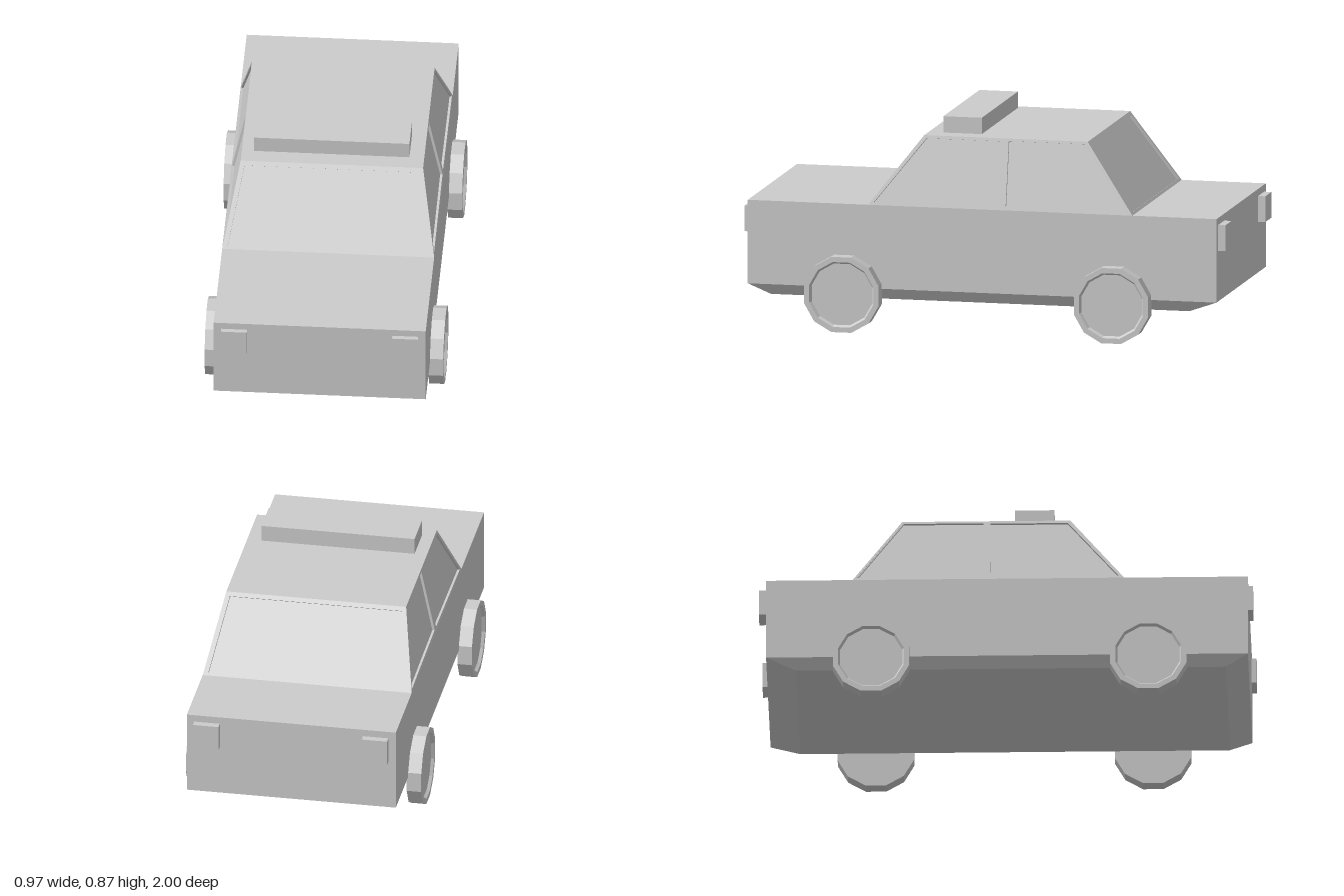
import * as THREE from 'three';
import { ConvexGeometry } from 'three/addons/geometries/ConvexGeometry.js';

const V = (x, y, z) => new THREE.Vector3(x, y, z);
const BELT = 0.52, ROOF = 0.805;          // heights of the cabin's base and roof
const rise = y => (y - BELT) / (ROOF - BELT);

export function createModel() {
  const car = new THREE.Group();
  car.name = 'car';
  const mat = new THREE.MeshStandardMaterial({ color: 0xcccccc, flatShading: true });

  const add = (name, geometry, parent = car) => {
    const mesh = new THREE.Mesh(geometry, mat);
    mesh.name = name;
    parent.add(mesh);
    return mesh;
  };
  const box = (name, w, h, d, x, y, z) =>
    add(name, new THREE.BoxGeometry(w, h, d)).position.set(x, y, z);

  // Lower body: a box whose underside tapers in
  const ring = (x, y, zFront, zBack) =>
    [V(x, y, zFront), V(-x, y, zFront), V(x, y, zBack), V(-x, y, zBack)];
  add('body', new ConvexGeometry([
    ...ring(0.43, BELT, 0.98, -0.97),
    ...ring(0.43, 0.177, 0.98, -0.97),
    ...ring(0.4, 0.132, 0.89, -0.85),
  ]));

  // Cabin wall: a sloping frame with openings and panes set slightly back.
  // at(a, y) places a point on the wall; corners run counter-clockwise from outside.
  const wall = (name, at, outline, openings) => {
    const group = new THREE.Group();
    group.name = name;
    const [o, p, q] = outline.map(c => at(...c));
    const u = p.clone().sub(o).normalize();
    const n = u.clone().cross(q.clone().sub(o)).normalize();
    const v = n.clone().cross(u);
    const flat = c => {
      const d = at(...c).sub(o);
      return new THREE.Vector2(d.dot(u), d.dot(v));
    };
    const depth = 0.012;
    const frame = new THREE.Shape(outline.map(flat));
    for (const w of openings) {
      const points = w.map(flat);
      frame.holes.push(new THREE.Path(points));
      add('window', new THREE.ShapeGeometry(new THREE.Shape(points)), group).position.z = -0.01;
    }
    add('windowFrame', new THREE.ExtrudeGeometry(frame, { depth, bevelEnabled: false })
      .translate(0, 0, -depth), group);
    group.applyMatrix4(new THREE.Matrix4().makeBasis(u, v, n).setPosition(o));
    car.add(group);
  };

  const ends = [[-0.43, BELT], [0.43, BELT], [0.37, ROOF], [-0.37, ROOF]];
  const screen = [[-0.408, 0.53], [0.408, 0.53], [0.354, 0.79], [-0.354, 0.79]];
  wall('windscreen', (x, y) => V(x, y, 0.48 - 0.22 * rise(y)), ends, [screen]);
  wall('rearScreen', (x, y) => V(-x, y, -0.62 + 0.2 * rise(y)), ends, [screen]);

  // Side walls, each with a front and a rear window
  const side = [[0.48, BELT], [-0.62, BELT], [-0.42, ROOF], [0.26, ROOF]];
  const sideWindows = [
    [[0.457, 0.53], [-0.063, 0.536], [-0.063, 0.793], [0.25, 0.793]],
    [[-0.092, 0.536], [-0.604, 0.53], [-0.416, 0.795], [-0.092, 0.795]],
  ];
  const flip = corners => [corners[1], corners[0], corners[3], corners[2]];
  wall('leftSide', (z, y) => V(0.43 - 0.06 * rise(y), y, z), side, sideWindows);
  wall('rightSide', (z, y) => V(-0.43 + 0.06 * rise(y), y, z), flip(side), sideWindows.map(flip));

  // Roof panel and roof light
  add('roof', new THREE.PlaneGeometry(0.74, 0.68).rotateX(-Math.PI / 2))
    .position.set(0, ROOF, -0.08);
  box('roofLight', 0.63, 0.067, 0.16, -0.005, 0.8415, 0.115);

  // Wheel: twelve-sided tyre with a recessed hub on its outer face
  const wheelProfile = [
    [0, -0.03], [0.16, -0.03], [0.16, 0.03], [0.138, 0.03], [0.13, 0.018], [0, 0.018],
  ].map(([r, h]) => new THREE.Vector2(r, h));
  const wheel = new THREE.LatheGeometry(wheelProfile, 12, Math.PI / 12);

  for (const s of [1, -1]) {
    const name = s > 0 ? 'left' : 'right';
    for (const [end, z] of [['Front', 0.578], ['Rear', -0.544]]) {
      const mesh = add(name + end + 'Wheel', wheel);
      mesh.rotation.z = -s * Math.PI / 2;
      mesh.position.set(s * 0.454, 0.155, z);
    }
    // Headlights and tail lights
    box(name + 'Headlight', 0.105, 0.106, 0.03, s * 0.347, 0.438, 0.985);
    box(name + 'TailLight', 0.105, 0.106, 0.04, s * 0.347, 0.438, -0.98);
  }
  return car;
}
